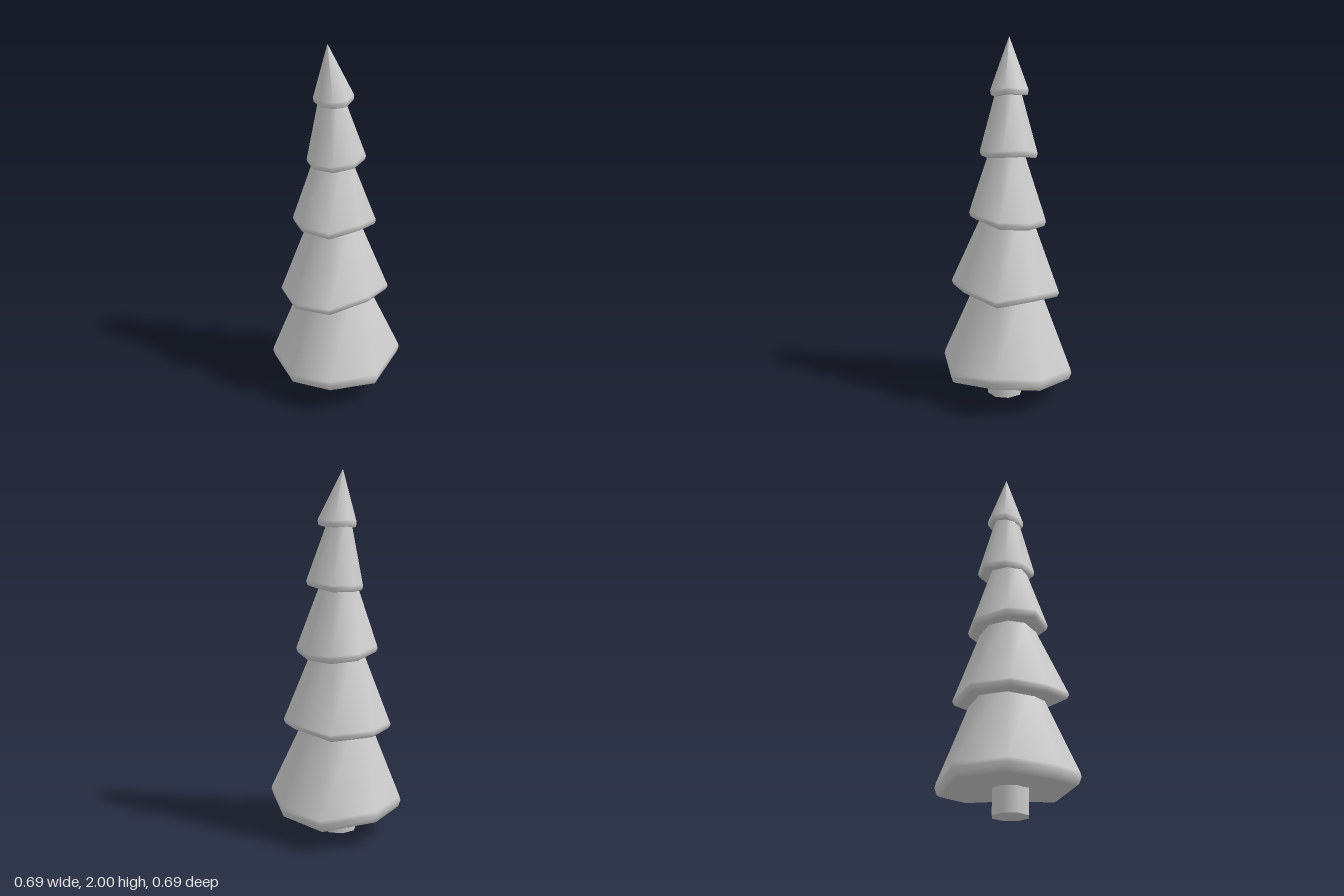
import * as THREE from 'three';

// Each tier: eight rim corners [x, z, y of lower edge], and the point and scale its top narrows to
const TIERS = [
  { lip: 0.06, top: [-0.015, 0.66, 0], scale: 0.47, rim: [
    [-0.155, -0.345, 0.14], [0.15, -0.333, 0.107], [0.325, -0.122, 0.13], [0.34, 0.148, 0.165],
    [0.107, 0.342, 0.128], [-0.175, 0.34, 0.155], [-0.333, 0.147, 0.13], [-0.345, -0.135, 0.14]] },
  { lip: 0.035, top: [-0.02, 1.04, 0], scale: 0.45, rim: [
    [-0.155, -0.262, 0.59], [0.085, -0.273, 0.58], [0.255, -0.097, 0.615], [0.27, 0.118, 0.595],
    [0.085, 0.27, 0.635], [-0.158, 0.294, 0.615], [-0.293, 0.108, 0.585], [-0.293, -0.098, 0.59]] },
  { lip: 0.035, top: [-0.025, 1.42, 0], scale: 0.4, rim: [
    [-0.083, -0.221, 1.0], [0.07, -0.197, 0.985], [0.176, -0.086, 0.99], [0.2, 0.088, 1.005],
    [0.058, 0.195, 1.035], [-0.12, 0.196, 1.015], [-0.232, 0.074, 1.03], [-0.218, -0.088, 1.02]] },
  { lip: 0.03, top: [-0.028, 1.75, -0.01], scale: 0.37, rim: [
    [-0.068, -0.165, 1.36], [0.048, -0.153, 1.36], [0.138, -0.07, 1.38], [0.147, 0.06, 1.38],
    [0.05, 0.136, 1.37], [-0.075, 0.141, 1.365], [-0.145, 0.036, 1.36], [-0.14, -0.068, 1.36]] },
  { lip: 0.03, top: [-0.04, 2, -0.015], scale: 0, rim: [
    [-0.05, -0.106, 1.7], [0.026, -0.106, 1.695], [0.082, -0.05, 1.7], [0.088, 0.032, 1.705],
    [0.026, 0.083, 1.69], [-0.052, 0.086, 1.69], [-0.095, 0.028, 1.69], [-0.107, -0.05, 1.695]] },
];

const material = new THREE.MeshStandardMaterial({ color: 0xcccccc });

function geometryFrom(positions, index) {
  const g = new THREE.BufferGeometry();
  g.setAttribute('position', new THREE.Float32BufferAttribute(positions.flat(), 3));
  g.setIndex(index);
  g.computeVertexNormals();
  return g;
}

function makeTier({ rim, lip, top, scale }, number) {
  const n = rim.length;
  const cx = rim.reduce((s, p) => s + p[0], 0) / n;
  const cz = rim.reduce((s, p) => s + p[1], 0) / n;
  const cy = rim.reduce((s, p) => s + p[2], 0) / n;
  const ring = (k, rise) => rim.map(([x, z, y]) => [cx + (x - cx) * k, y + rise, cz + (z - cz) * k]);

  // Rounded lip below the widest ring, then a straight slope to the top
  const lower = ring(0.92, 0);
  const rings = [lower, ring(0.965, lip * 0.15), ring(1, lip * 0.75), ring(0.985, lip * 1.15),
    rim.map(([x, z]) => [top[0] + (x - cx) * scale, top[1], top[2] + (z - cz) * scale])];
  const index = [];
  for (let r = 0; r < rings.length - 1; r++) {
    for (let i = 0; i < n; i++) {
      const j = (i + 1) % n;
      const a = r * n + i, b = r * n + j, c = a + n, d = b + n;
      index.push(a, c, b);
      if (r < rings.length - 2 || scale > 0) index.push(b, c, d);
    }
  }
  const skirt = new THREE.Mesh(geometryFrom(rings.flat(), index), material);
  skirt.name = 'skirt';

  // Underside fan
  const fan = [];
  for (let i = 0; i < n; i++) fan.push(n, i, (i + 1) % n);
  const underside = new THREE.Mesh(geometryFrom([...lower, [cx, cy, cz]], fan), material);
  underside.name = 'underside';

  const tier = new THREE.Group();
  tier.name = `foliageTier${number}`;
  tier.add(skirt, underside);
  return tier;
}

export function createModel() {
  const tree = new THREE.Group();
  tree.name = 'firTree';

  // Trunk
  const trunk = new THREE.Mesh(new THREE.CylinderGeometry(0.1, 0.1, 0.3, 8), material);
  trunk.name = 'trunk';
  trunk.position.set(-0.025, 0.15, 0.012);
  tree.add(trunk);

  // Foliage, from the lowest tier to the tip
  TIERS.forEach((tier, i) => tree.add(makeTier(tier, i + 1)));
  return tree;
}
